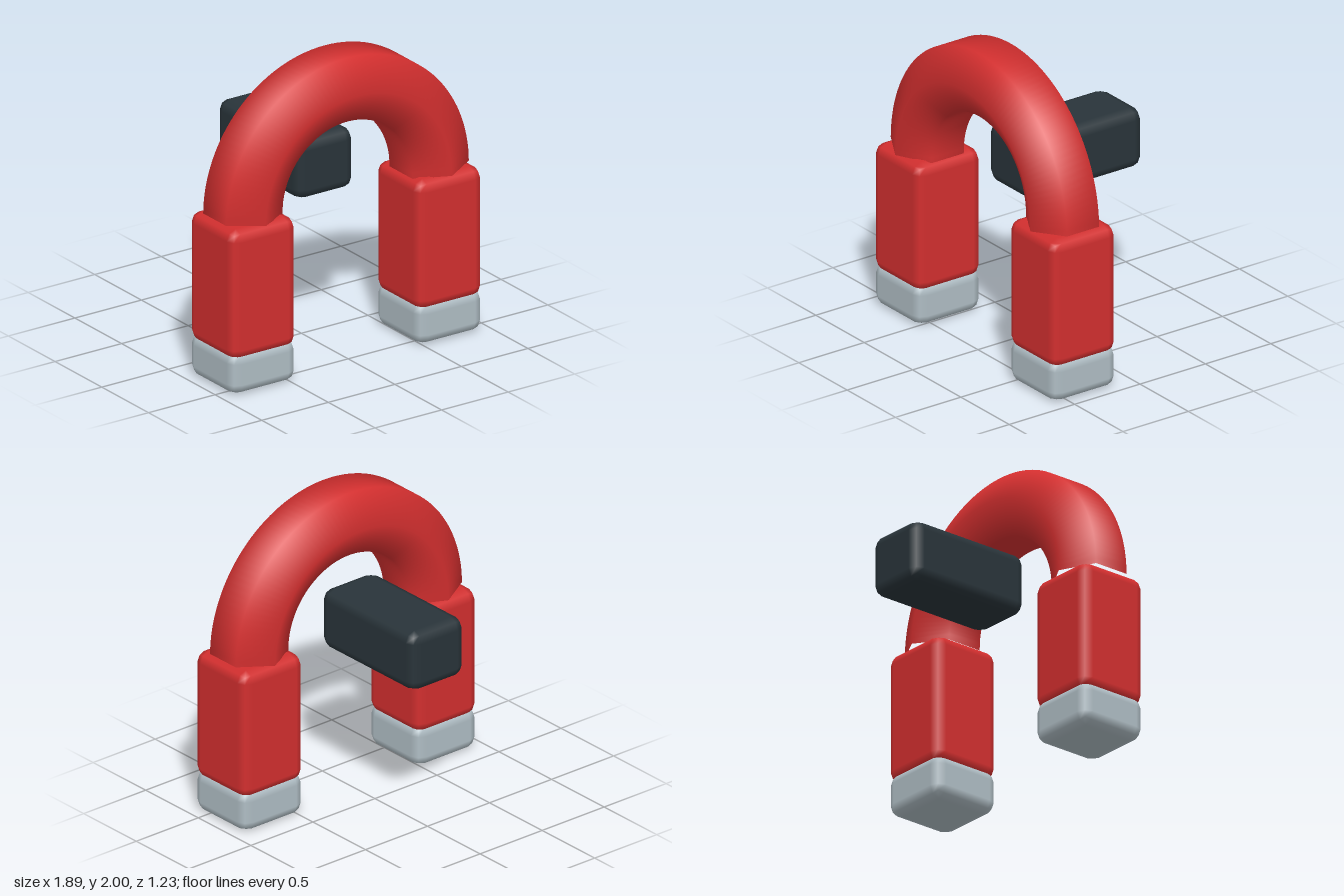
import * as THREE from 'three';
import { RoundedBoxGeometry } from 'three/addons/geometries/RoundedBoxGeometry.js';

const material = (name, color) => {
  const m = new THREE.MeshStandardMaterial({ color });
  m.name = name;
  return m;
};

export function createModel() {
  const red = material('red', 0xd32f2f);
  const steel = material('steel', 0xb0bec5);
  const dark = material('dark grey', 0x29343a);

  const model = new THREE.Group();
  model.name = 'magnet';
  const add = (name, geometry, mat, x, y, z) => {
    const mesh = new THREE.Mesh(geometry, mat);
    mesh.name = name;
    mesh.position.set(x, y, z);
    model.add(mesh);
  };
  // Softly bevelled block spanning y0 to y1
  const block = (name, mat, w, d, x, y0, y1, z) =>
    add(name, new RoundedBoxGeometry(w, y1 - y0, d, 1, 0.07), mat, x, (y0 + y1) / 2, z);

  const z = 0.37, spread = 0.7, size = 0.49;

  // Six-sided, smooth-shaded arch
  const points = [];
  for (let i = 0; i <= 32; i++) {
    const a = Math.PI * (1 - i / 32);
    points.push(new THREE.Vector3(Math.cos(a) * spread, Math.sin(a) * spread, 0));
  }
  const path = new THREE.CatmullRomCurve3(points);
  add('arch', new THREE.TubeGeometry(path, 64, 0.245, 6, false), red, 0, 1.09, z);

  // Legs with steel pole tips
  for (const [side, s] of [['left', 1], ['right', -1]]) {
    block(side + 'Leg', red, size, size, s * spread, 0.23, 1.09, z);
    block(side + 'Tip', steel, size, size, s * spread, 0, 0.28, z);
  }

  // Handle block reaching backwards
  block('handle', dark, 0.43, 0.89, 0, 1.01, 1.41, -0.17);

  return model;
}
